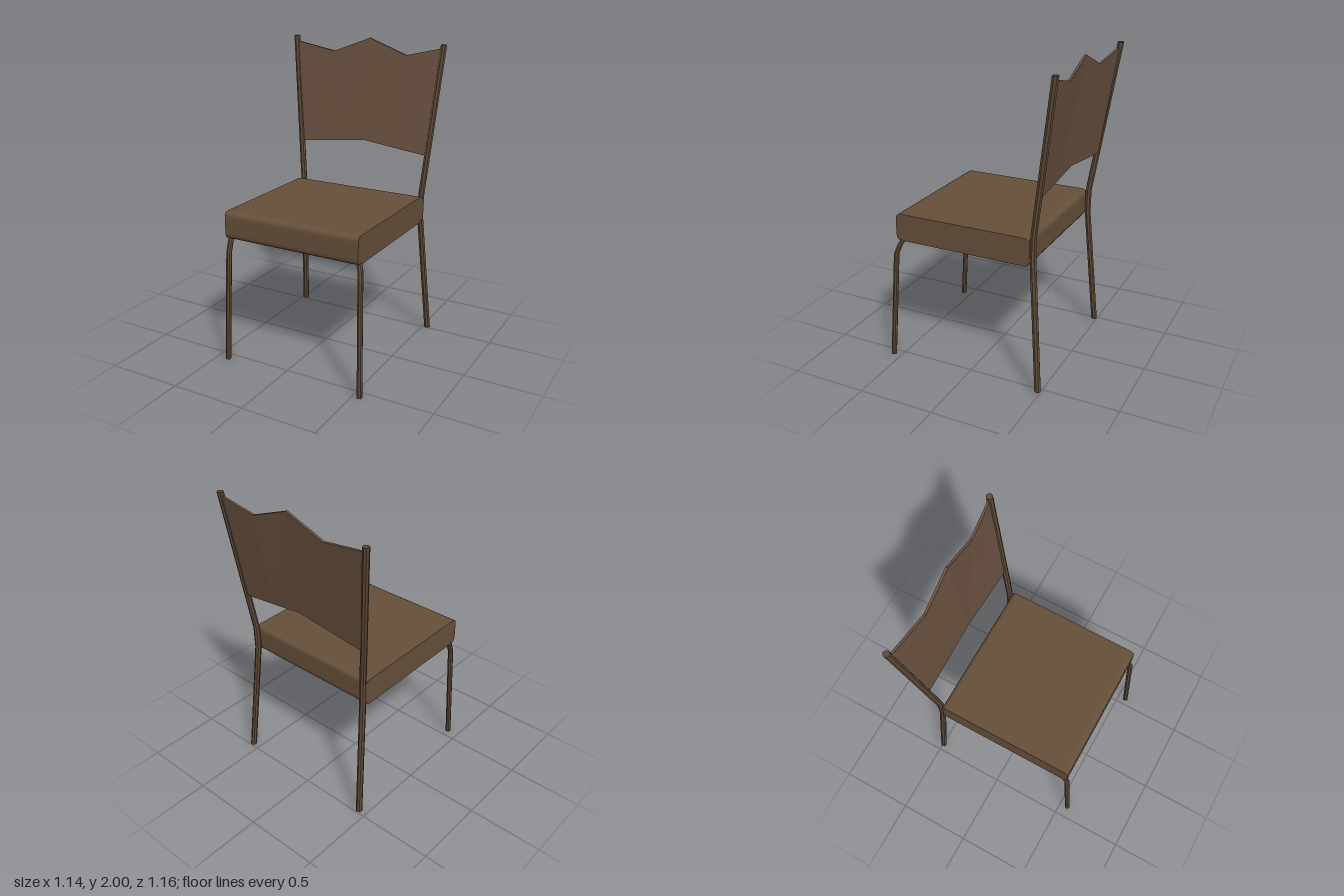
import * as THREE from 'three';

const wood = (color) => new THREE.MeshStandardMaterial({ color, flatShading: true });
const V = (x, y, z) => new THREE.Vector3(x, y, z);

// Rod with level octagonal rings, one ring at each path point (top to bottom).
function rod(name, points, radius, material) {
  const n = points.length - 1;
  const geo = new THREE.CylinderGeometry(radius, radius, n, 8, n);
  const pos = geo.attributes.position;
  for (let i = 0; i < pos.count; i++) {
    const p = points[Math.round(n / 2 - pos.getY(i))];
    pos.setXYZ(i, pos.getX(i) + p.x, p.y, pos.getZ(i) + p.z);
  }
  geo.computeVertexNormals();
  const mesh = new THREE.Mesh(geo, material);
  mesh.name = name;
  return mesh;
}

// Seat: rounded side profile extruded across the width.
function seat(material) {
  const [z0, z1, y0, y1, r] = [-0.405, 0.517, 0.82, 1.0, 0.037];
  const s = new THREE.Shape();
  s.moveTo(-z0 - r, y0);
  s.quadraticCurveTo(-z0, y0, -z0, y0 + r);
  s.lineTo(-z0, y1 - r);
  s.quadraticCurveTo(-z0, y1, -z0 - r, y1);
  s.lineTo(-z1 + r, y1);
  s.quadraticCurveTo(-z1, y1, -z1, y1 - r);
  s.lineTo(-z1, y0 + r);
  s.quadraticCurveTo(-z1, y0, -z1 + r, y0);
  const geo = new THREE.ExtrudeGeometry(s, { depth: 0.94, bevelEnabled: false, curveSegments: 4 });
  geo.rotateY(Math.PI / 2).translate(-0.435, 0, 0);
  const mesh = new THREE.Mesh(geo, material);
  mesh.name = 'seat';
  return mesh;
}

// Backrest: columns of a thin box bent to a crested, leaning panel.
function backrest(material) {
  const top = [V(-0.53, 1.95, -0.545), V(-0.23, 1.9, -0.527), V(0.035, 2.0, -0.533),
    V(0.3, 1.9, -0.54), V(0.54, 1.955, -0.56)];
  const bottom = [V(-0.45, 1.262, -0.462), V(-0.2, 1.29, -0.462), V(0.035, 1.318, -0.462),
    V(0.26, 1.29, -0.462), V(0.5, 1.262, -0.462)];
  const geo = new THREE.BoxGeometry(4, 1, 0.016, 4, 1, 1);
  const pos = geo.attributes.position;
  for (let i = 0; i < pos.count; i++) {
    const p = (pos.getY(i) > 0 ? top : bottom)[Math.round(pos.getX(i) + 2)];
    pos.setXYZ(i, p.x, p.y, p.z + pos.getZ(i));
  }
  geo.computeVertexNormals();
  const mesh = new THREE.Mesh(geo, material);
  mesh.name = 'backrest';
  return mesh;
}

export function createModel() {
  const chair = new THREE.Group();
  chair.name = 'chair';
  const frame = wood(0x5f4a38);
  chair.add(seat(wood(0x66503a)), backrest(wood(0x6a5240)));

  // Back posts run from the crest down to the floor, kinked at the seat.
  chair.add(
    rod('rightBackPost', [V(-0.55, 1.988, -0.554), V(-0.423, 1.0, -0.422),
      V(-0.421, 0.85, -0.421), V(-0.455, 0.02, -0.49)], 0.021, frame),
    rod('leftBackPost', [V(0.55, 1.98, -0.562), V(0.49, 1.0, -0.422),
      V(0.488, 0.85, -0.421), V(0.545, 0.015, -0.488)], 0.021, frame),
  );

  // Front legs curve out from under the seat.
  chair.add(
    rod('rightFrontLeg', [V(-0.42, 0.84, 0.47), V(-0.416, 0.79, 0.493),
      V(-0.415, 0.73, 0.514), V(-0.42, 0, 0.558)], 0.018, frame),
    rod('leftFrontLeg', [V(0.485, 0.84, 0.47), V(0.508, 0.79, 0.493),
      V(0.52, 0.73, 0.514), V(0.547, 0, 0.558)], 0.018, frame),
  );
  return chair;
}
